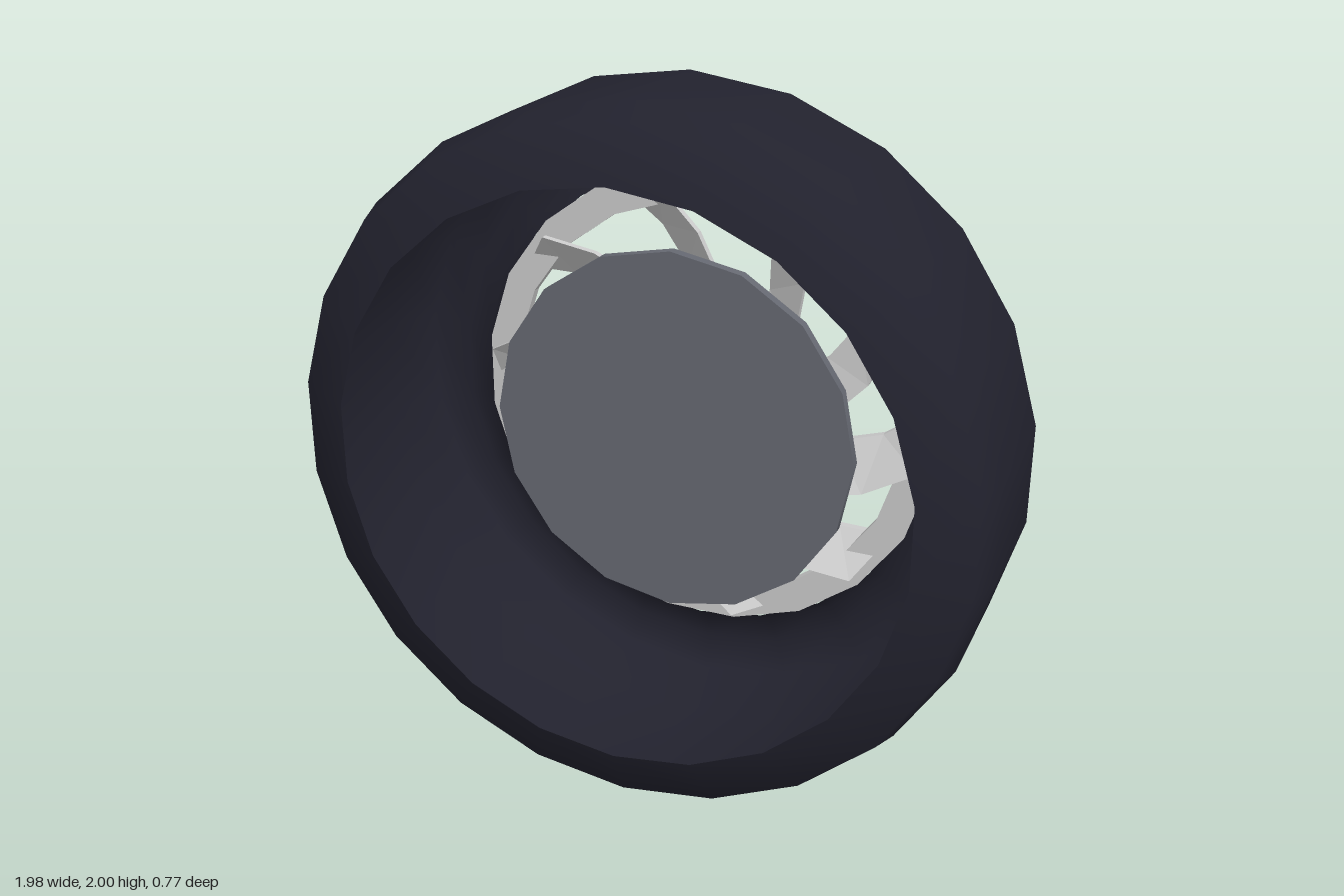
import * as THREE from 'three';

const material = (name, color, side = THREE.FrontSide) => {
  const m = new THREE.MeshStandardMaterial({ color, side });
  m.name = name;
  return m;
};

// Turns a [radius, z] profile around the z axis
function turned(profile, sides, flat = false) {
  let g = new THREE.LatheGeometry(profile.map(([r, z]) => new THREE.Vector2(r, z)), sides);
  g.rotateX(Math.PI / 2);
  if (flat) {
    g = g.toNonIndexed();
    g.computeVertexNormals();
  }
  return g;
}

// Curved, pitched blade lofted from rectangular sections along the radius
function bladeGeometry() {
  // radius, angle in degrees, half width, z of the middle, half z rise
  const stations = [
    [0.12, 79, 0.045, -0.245, 0.05],
    [0.28, 83, 0.062, -0.255, 0.055],
    [0.41, 89, 0.072, -0.265, 0.055],
    [0.54, 97.5, 0.076, -0.27, 0.052],
    [0.672, 107, 0.078, -0.275, 0.045],
  ];
  const corners = [[-1, -1], [1, -1], [1, 1], [-1, 1]];
  const loops = stations.map(([r, deg, w, z, h]) => corners.map(([s, k]) => {
    const a = THREE.MathUtils.degToRad(deg) + s * w / r;
    return [r * Math.cos(a), r * Math.sin(a), z - s * h + k * 0.011];
  }));
  const pos = [];
  const quad = (a, b, c, d) => pos.push(...a, ...b, ...c, ...a, ...c, ...d);
  for (let i = 0; i < loops.length - 1; i++) {
    for (let c = 0; c < 4; c++) {
      const n = (c + 1) % 4;
      quad(loops[i][c], loops[i][n], loops[i + 1][n], loops[i + 1][c]);
    }
  }
  quad(...loops[loops.length - 1]);
  quad(...[...loops[0]].reverse());
  const g = new THREE.BufferGeometry();
  g.setAttribute('position', new THREE.Float32BufferAttribute(pos, 3));
  g.computeVertexNormals();
  return g;
}

export function createModel() {
  const rubber = material('dark rubber', 0x22222e, THREE.DoubleSide);
  const metal = material('light metal', 0xcccccc, THREE.DoubleSide);
  const steel = material('slate steel', 0x666972);

  const wheel = new THREE.Group();
  wheel.name = 'wheel';
  wheel.position.y = 1;
  const add = (name, geometry, mat, parent = wheel) => {
    const mesh = new THREE.Mesh(geometry, mat);
    mesh.name = name;
    parent.add(mesh);
    return mesh;
  };

  // Tyre shell, open at the front
  add('tyre', turned([
    [0.7, -0.27], [0.74, -0.328], [0.82, -0.338], [0.935, -0.325],
    [1, -0.16], [1, 0.22], [0.97, 0.32], [0.82, 0.385],
  ], 22), rubber);

  // Flat rim ring with a side, not a corner, at the bottom
  const rim = add('rim', turned([
    [0.705, -0.3], [0.705, -0.27], [0.61, -0.27], [0.61, -0.3], [0.705, -0.3],
  ], 20, true), metal);
  rim.rotation.z = Math.PI / 20;

  // Domed hub
  add('hub', turned([
    [0, -0.385], [0.12, -0.322], [0.167, -0.25], [0.175, -0.17],
  ], 16), metal);

  // Ten swirling blades
  const blades = new THREE.Group();
  blades.name = 'blades';
  wheel.add(blades);
  const blade = bladeGeometry();
  for (let i = 0; i < 10; i++) {
    add('blade', blade, metal, blades).rotation.z = i * Math.PI / 5;
  }

  // Brake disc behind the blades
  const disc = new THREE.CylinderGeometry(0.54, 0.54, 0.03, 16);
  disc.rotateX(Math.PI / 2);
  add('brakeDisc', disc, steel).position.z = -0.035;

  const model = new THREE.Group();
  model.name = 'model';
  model.add(wheel);
  return model;
}
